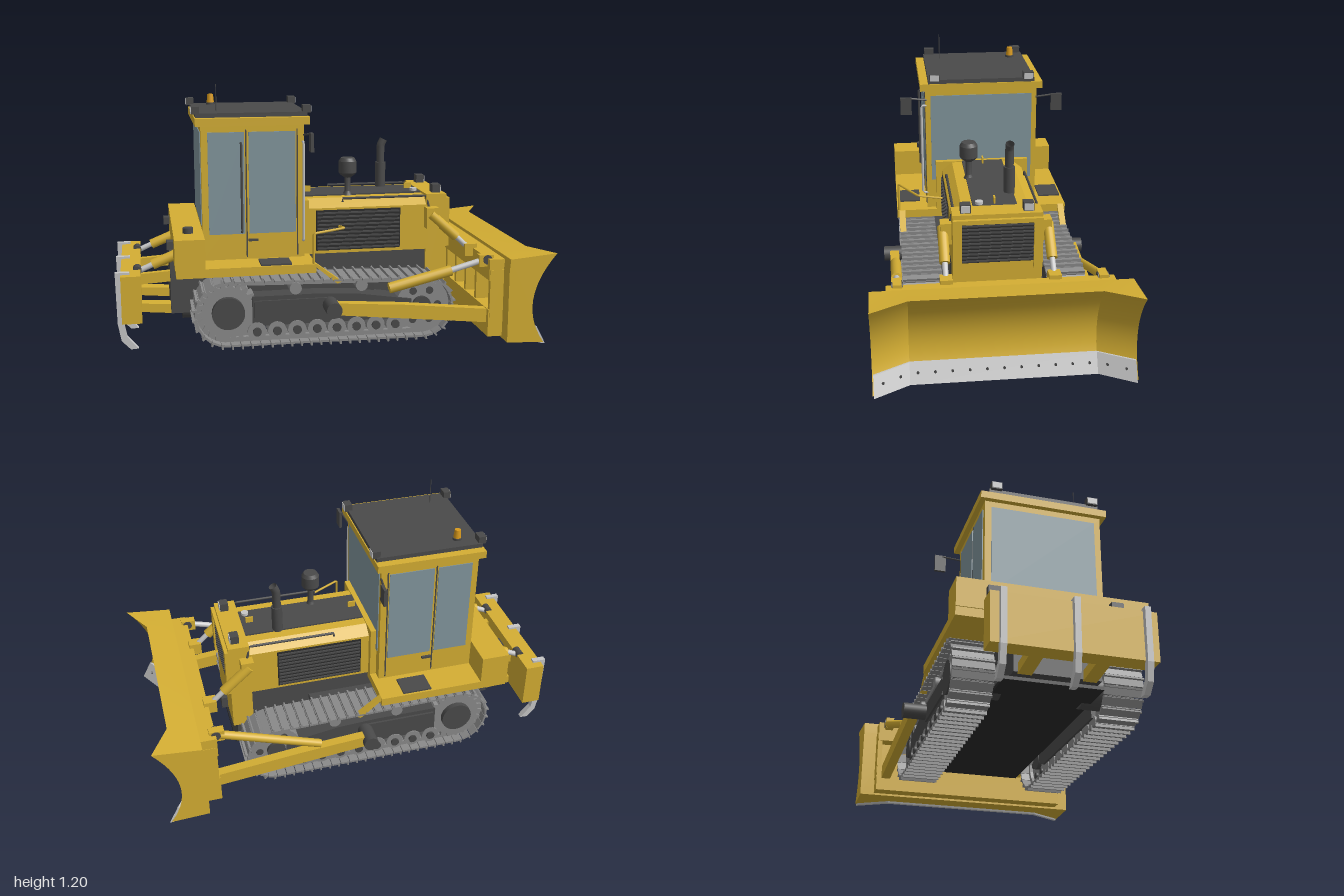
import * as THREE from 'three';
import { mergeGeometries, toCreasedNormals } from 'three/addons/utils/BufferGeometryUtils.js';

const V = (x, y, z) => new THREE.Vector3(x, y, z);

export function createModel() {
  const model = new THREE.Group();
  const M = {};
  const colours = { yellow: 0xd4ae33, dark: 0x4a4a4a, black: 0x2b2b2b, steel: 0x8a8a8a, chrome: 0xc6c6c6, glass: 0x82969d, amber: 0xd99a1c };
  for (const [name, color] of Object.entries(colours)) {
    M[name] = new THREE.MeshStandardMaterial({ color });
    M[name].name = name;
  }

  const add = (name, geo, mat) => {
    const m = new THREE.Mesh(geo, M[mat]);
    m.name = name;
    model.add(m);
    return m;
  };
  // box from its limits
  const box = (name, mat, x0, x1, y0, y1, z0, z1) => {
    const m = add(name, new THREE.BoxGeometry(x1 - x0, y1 - y0, Math.abs(z1 - z0)), mat);
    m.position.set((x0 + x1) / 2, (y0 + y1) / 2, (z0 + z1) / 2);
    return m;
  };
  // cylinder between two points
  const rod = (name, mat, a, b, r, r2 = r, sides = 16) => {
    const d = b.clone().sub(a);
    const m = add(name, new THREE.CylinderGeometry(r2, r, d.length(), sides), mat);
    m.position.copy(a).add(b).multiplyScalar(0.5);
    m.quaternion.setFromUnitVectors(V(0, 1, 0), d.normalize());
    return m;
  };
  // side outline extruded across z
  const prism = (name, mat, pts, z0, z1) => {
    const shape = new THREE.Shape(pts.map(p => new THREE.Vector2(...p)));
    const m = add(name, new THREE.ExtrudeGeometry(shape, { depth: Math.abs(z1 - z0), bevelEnabled: false }), mat);
    m.position.z = Math.min(z0, z1);
    return m;
  };
  const tube = (name, mat, pts, r) => {
    const path = new THREE.CurvePath();
    for (let i = 1; i < pts.length; i++) path.add(new THREE.LineCurve3(pts[i - 1], pts[i]));
    return add(name, new THREE.TubeGeometry(path, 30, r, 6), mat);
  };
  const both = fn => [1, -1].forEach(fn);

  // Hull, deck and rear tank
  box('hull', 'dark', -0.75, 0.56, 0.13, 0.4, -0.19, 0.19);
  box('bellyPlate', 'black', -0.7, 0.58, 0.115, 0.13, -0.22, 0.22);
  box('deck', 'yellow', -0.73, -0.1, 0.36, 0.4, -0.43, 0.43);
  box('rearTank', 'yellow', -0.735, -0.6, 0.4, 0.535, -0.43, 0.43);
  rod('tankCap', 'dark', V(-0.667, 0.53, 0.28), V(-0.667, 0.56, 0.28), 0.024);
  rod('crossShaft', 'dark', V(0.12, 0.25, -0.3), V(0.12, 0.25, 0.3), 0.03);
  both(s => {
    box('stepPlate', 'dark', -0.35, -0.21, 0.4, 0.407, s * 0.31, s * 0.42);
    box('tailLamp', 'dark', -0.765, -0.735, 0.465, 0.5, s * 0.245, s * 0.3);
    prism('deckBrace', 'yellow', [[-0.12, 0.4], [-0.1, 0.4], [0.02, 0.31], [0.0, 0.3]], s * 0.39, s * 0.42);
  });

  // Cab with window panes
  box('cab', 'yellow', -0.6, -0.13, 0.4, 1.02, -0.275, 0.275);
  box('roof', 'yellow', -0.625, -0.105, 1.02, 1.055, -0.3, 0.3);
  box('roofPanel', 'dark', -0.62, -0.11, 1.055, 1.075, -0.26, 0.26);
  box('frontWindow', 'glass', -0.131, -0.126, 0.55, 0.99, -0.25, 0.25);
  box('rearWindow', 'glass', -0.604, -0.599, 0.56, 0.99, -0.245, 0.245);
  both(s => {
    box('rearSideWindow', 'glass', -0.57, -0.405, 0.52, 0.99, s * 0.273, s * 0.279);
    box('doorWindow', 'glass', -0.385, -0.17, 0.52, 0.99, s * 0.273, s * 0.279);
    for (const x of [-0.4, -0.165]) box('doorSeam', 'dark', x, x + 0.006, 0.41, 1.0, s * 0.273, s * 0.278);
    box('doorHandle', 'dark', -0.39, -0.345, 0.485, 0.495, s * 0.275, s * 0.287);
    tube('mirrorArm', 'dark', [V(-0.13, 0.97, s * 0.27), V(-0.115, 0.985, s * 0.36)], 0.005);
    box('mirror', 'dark', -0.118, -0.104, 0.905, 0.99, s * 0.343, s * 0.397);
    // roof work lamps
    for (const [x, f] of [[-0.112, 1], [-0.62, -1]]) {
      box('workLamp', 'dark', x - 0.018, x + 0.018, 1.07, 1.105, s * 0.204, s * 0.254);
      box('workLampLens', 'chrome', x + f * 0.019 - 0.002, x + f * 0.019 + 0.002, 1.073, 1.102, s * 0.207, s * 0.251);
    }
  });
  tube('grabRail', 'chrome', [V(-0.135, 0.94, 0.27), V(-0.135, 0.94, 0.295), V(-0.135, 0.48, 0.295), V(-0.135, 0.48, 0.27)], 0.006);
  tube('doorRail', 'dark', [V(-0.42, 0.94, 0.27), V(-0.42, 0.94, 0.295), V(-0.42, 0.53, 0.295), V(-0.42, 0.53, 0.27)], 0.006);
  rod('antenna', 'dark', V(-0.52, 1.07, 0.18), V(-0.52, 1.2, 0.18), 0.002, 0.002, 6);
  rod('beaconBase', 'dark', V(-0.52, 1.07, -0.19), V(-0.52, 1.085, -0.19), 0.022);
  rod('beacon', 'amber', V(-0.52, 1.085, -0.19), V(-0.52, 1.125, -0.19), 0.018, 0.014);

  // Hood with sloped shoulders, made across and turned along x
  const hoodShape = new THREE.Shape([[-0.2, 0.39], [0.2, 0.39], [0.2, 0.61], [0.15, 0.65], [-0.15, 0.65], [-0.2, 0.61]].map(p => new THREE.Vector2(...p)));
  const hood = add('hood', new THREE.ExtrudeGeometry(hoodShape, { depth: 0.61, bevelEnabled: false }), 'yellow');
  hood.rotation.y = Math.PI / 2;
  hood.position.x = -0.12;
  box('cowl', 'yellow', -0.13, -0.1, 0.4, 0.655, -0.23, 0.23);
  box('hoodPanel', 'dark', -0.1, 0.51, 0.65, 0.657, -0.1, 0.1);
  box('radiatorGuard', 'yellow', 0.48, 0.58, 0.2, 0.66, -0.2, 0.2);
  box('frontGrille', 'black', 0.578, 0.584, 0.43, 0.62, -0.16, 0.16);
  for (let i = 0; i < 11; i++) box('frontSlat', 'dark', 0.582, 0.59, 0.436 + i * 0.017, 0.443 + i * 0.017, -0.16, 0.16);
  both(s => {
    box('grilleFrame', 'yellow', 0.58, 0.597, 0.4, 0.64, s * 0.16, s * 0.2);
    box('sideGrille', 'black', -0.06, 0.35, 0.405, 0.6, s * 0.198, s * 0.204);
    for (let i = 0; i < 10; i++) box('sideSlat', 'dark', -0.055, 0.345, 0.412 + i * 0.019, 0.42 + i * 0.019, s * 0.2, s * 0.21);
    tube('hoodRail', 'dark', [V(0.07, 0.635, s * 0.19), V(0.07, 0.652, s * 0.19), V(0.48, 0.652, s * 0.19), V(0.5, 0.57, s * 0.21)], 0.006);
    box('headlamp', 'dark', 0.52, 0.56, 0.66, 0.7, s * 0.117, s * 0.163);
    box('headlampLens', 'chrome', 0.559, 0.564, 0.664, 0.696, s * 0.12, s * 0.16);
  });
  box('grilleTop', 'yellow', 0.58, 0.597, 0.62, 0.64, -0.16, 0.16);
  box('towHook', 'dark', 0.58, 0.61, 0.19, 0.25, -0.04, 0.04);
  for (const x of [-0.07, 0.44]) box('liftingEye', 'yellow', x - 0.018, x + 0.018, 0.65, 0.685, -0.004, 0.004);
  rod('radiatorCap', 'chrome', V(0.45, 0.65, 0.07), V(0.45, 0.67, 0.07), 0.018);
  tube('deckRail', 'yellow', [V(-0.11, 0.4, 0.42), V(-0.11, 0.54, 0.42), V(0.05, 0.54, 0.33), V(0.05, 0.52, 0.2)], 0.006);

  // Air cleaner and exhaust
  const cleaner = [[0, 0.65], [0.025, 0.65], [0.015, 0.67], [0.015, 0.735], [0.036, 0.75], [0.043, 0.76], [0.043, 0.815], [0.033, 0.832], [0, 0.832]];
  const lathe = new THREE.LatheGeometry(cleaner.map(p => new THREE.Vector2(...p)), 20);
  add('airCleaner', toCreasedNormals(lathe, 0.5), 'dark').position.set(0.115, 0, 0.085);
  rod('muffler', 'dark', V(0.32, 0.65, -0.083), V(0.32, 0.78, -0.083), 0.026);
  const stack = new THREE.CatmullRomCurve3([V(0.32, 0.77, -0.083), V(0.32, 0.85, -0.083), V(0.315, 0.875, -0.083), V(0.335, 0.895, -0.083)].map((p, i) => i === 2 ? V(0.322, 0.868, -0.083) : p));
  add('exhaustStack', new THREE.TubeGeometry(stack, 16, 0.02, 14), 'dark').material.side = THREE.DoubleSide;

  // Tracks: shoes, grousers and links set along a belt path
  const A = { x: -0.5, y: 0.18, r: 0.148 }, B = { x: 0.41, y: 0.165, r: 0.14 };
  const th = Math.atan2(B.y - A.y, B.x - A.x);
  const phi = Math.acos((A.r - B.r) / Math.hypot(B.x - A.x, B.y - A.y));
  const belt = new THREE.Path();
  belt.absarc(A.x, A.y, A.r, th + phi, th - phi + 2 * Math.PI, false);
  belt.absarc(B.x, B.y, B.r, th - phi, th + phi, false);
  belt.closePath();
  const shoes = [], N = 60;
  for (let i = 0; i < N; i++) {
    const p = belt.getPoint(i / N), t = belt.getTangent(i / N);
    const parts = [
      new THREE.BoxGeometry(0.042, 0.01, 0.18),
      new THREE.BoxGeometry(0.008, 0.016, 0.18).translate(-0.014, -0.01, 0),
      new THREE.BoxGeometry(0.046, 0.024, 0.022).translate(0, 0.014, 0.035),
      new THREE.BoxGeometry(0.046, 0.024, 0.022).translate(0, 0.014, -0.035),
    ];
    for (const g of parts) shoes.push(g.rotateZ(Math.atan2(t.y, t.x)).translate(p.x, p.y, 0));
  }
  const trackGeo = mergeGeometries(shoes);
  const teeth = [];
  for (let i = 0; i < 88; i++) {
    const r = i % 4 < 2 ? 0.142 : 0.12, a = i / 88 * 2 * Math.PI;
    teeth.push([A.x + r * Math.cos(a), A.y + r * Math.sin(a)]);
  }

  both(s => {
    const across = (name, mat, x, y, r, z0, z1) => rod(name, mat, V(x, y, s * z0), V(x, y, s * z1), r, r, 24);
    add('track', trackGeo, 'steel').position.z = s * 0.33;
    prism('sprocket', 'steel', teeth, s * 0.3, s * 0.385);
    across('finalDrive', 'dark', A.x, A.y, 0.075, 0.18, 0.41);
    across('idler', 'steel', B.x, B.y, 0.122, 0.3, 0.38);
    across('idlerHub', 'dark', B.x, B.y, 0.045, 0.28, 0.395);
    for (let i = 0; i < 6; i++) {
      const a = i * Math.PI / 3;
      across('idlerHole', 'dark', B.x + 0.08 * Math.cos(a), B.y + 0.08 * Math.sin(a), 0.018, 0.29, 0.383);
    }
    prism('trackFrame', 'dark', [[-0.39, 0.11], [0.3, 0.11], [0.36, 0.15], [0.36, 0.2], [0.1, 0.24], [-0.1, 0.25], [-0.39, 0.25]], s * 0.28, s * 0.39);
    box('frameCover', 'dark', -0.38, -0.03, 0.15, 0.23, s * 0.39, s * 0.4);
    box('frameUpper', 'dark', -0.4, 0.2, 0.2, 0.31, s * 0.19, s * 0.3);
    for (let i = 0; i < 8; i++) {
      const x = -0.37 + i * 0.093;
      across('trackRoller', 'steel', x, 0.085, 0.043, 0.29, 0.395);
      across('rollerCap', 'dark', x, 0.085, 0.02, 0.39, 0.405);
    }
    for (const x of [-0.19, 0.12]) across('carrierRoller', 'steel', x, 0.28, 0.028, 0.28, 0.395);

    // Push arms and lift cylinders
    prism('pushArm', 'yellow', [[-0.04, 0.17], [0.72, 0.09], [0.72, 0.155], [0.3, 0.2], [-0.04, 0.225]], s * 0.43, s * 0.475);
    across('trunnion', 'dark', -0.03, 0.197, 0.036, 0.38, 0.505);
    box('liftBracket', 'yellow', 0.47, 0.53, 0.5, 0.6, s * 0.19, s * 0.25);
    rod('liftCylinder', 'yellow', V(0.49, 0.57, s * 0.238), V(0.62, 0.455, s * 0.238), 0.024);
    rod('liftPiston', 'chrome', V(0.61, 0.465, s * 0.238), V(0.68, 0.4, s * 0.238), 0.013);
    box('liftClevis', 'yellow', 0.66, 0.72, 0.36, 0.42, s * 0.21, s * 0.265);
    across('bracePin', 'dark', 0.7, 0.393, 0.022, 0.425, 0.475);
    box('braceClevis', 'yellow', 0.66, 0.73, 0.36, 0.415, s * 0.43, s * 0.47);
  });
  rod('tiltCylinder', 'yellow', V(0.235, 0.275, 0.45), V(0.53, 0.345, 0.45), 0.025);
  rod('tiltPiston', 'chrome', V(0.52, 0.343, 0.45), V(0.69, 0.39, 0.45), 0.014);
  rod('fixedBrace', 'yellow', V(0.21, 0.22, -0.455), V(0.7, 0.393, -0.455), 0.02);

  // Blade: an extruded section whose ends swing forward
  const bladeLoft = (name, mat, shape, half) => {
    const g = new THREE.ExtrudeGeometry(shape, { depth: 3, steps: 3, bevelEnabled: false });
    const p = g.attributes.position, zs = [-half, -0.41, 0.41, half];
    for (let i = 0; i < p.count; i++) {
      const k = Math.round(p.getZ(i));
      const w = THREE.MathUtils.smoothstep(p.getX(i), 0.775, 0.8);
      if (k === 0 || k === 3) p.setX(i, p.getX(i) + 0.088 * w);
      p.setZ(i, zs[k]);
    }
    add(name, toCreasedNormals(g, 0.4), mat);
  };
  const front = new THREE.QuadraticBezierCurve(new THREE.Vector2(0.86, 0.012), new THREE.Vector2(0.7175, 0.212), new THREE.Vector2(0.91, 0.435));
  const back = [[0.775, 0.415], [0.77, 0.36], [0.77, 0.02]].map(p => new THREE.Vector2(...p));
  bladeLoft('blade', 'yellow', new THREE.Shape([...front.getPoints(14), ...back]), 0.57);
  bladeLoft('cuttingEdge', 'chrome', new THREE.Shape([[0.85, 0.005], [0.87, 0.005], [0.826, 0.09], [0.81, 0.09]].map(p => new THREE.Vector2(...p))), 0.565);
  for (let i = -7; i <= 7; i++) {
    const z = i * 0.075, x = 0.845 + Math.max(0, Math.abs(z) - 0.41) * 0.56;
    rod('edgeBolt', 'dark', V(x - 0.01, 0.05, z), V(x + 0.006, 0.05, z), 0.006, 0.006, 8);
  }
  box('bladeBeam', 'yellow', 0.7, 0.775, 0.03, 0.16, -0.5, 0.5);
  box('bladeUpperBeam', 'yellow', 0.7, 0.775, 0.3, 0.4, -0.5, 0.5);
  for (const z of [-0.49, -0.3, -0.15, 0, 0.15, 0.3, 0.49]) box('bladeRib', 'yellow', 0.705, 0.775, 0.1, 0.35, z - 0.012, z + 0.012);

  // Ripper
  box('ripperBeam', 'yellow', -0.975, -0.885, 0.14, 0.36, -0.35, 0.35);
  const shank = [[-1, 0.37], [-0.995, 0.13], [-0.98, 0.05], [-0.94, 0.008], [-0.905, 0.01], [-0.955, 0.07], [-0.968, 0.14], [-0.935, 0.362], [-0.935, 0.37]];
  for (const z of [-0.3, 0, 0.3]) prism('ripperShank', 'chrome', shank, z - 0.013, z + 0.013);
  both(s => {
    prism('ripperUpperArm', 'yellow', [[-0.9, 0.27], [-0.74, 0.28], [-0.74, 0.33], [-0.9, 0.32]], s * 0.135, s * 0.165);
    prism('ripperLowerArm', 'yellow', [[-0.9, 0.14], [-0.74, 0.125], [-0.74, 0.17], [-0.9, 0.18]], s * 0.11, s * 0.17);
    rod('ripperCylinder', 'yellow', V(-0.72, 0.42, s * 0.205), V(-0.83, 0.375, s * 0.205), 0.024);
    rod('ripperPiston', 'chrome', V(-0.82, 0.38, s * 0.205), V(-0.9, 0.345, s * 0.205), 0.013);
    rod('ripperPin', 'dark', V(-0.9, 0.355, s * 0.18), V(-0.9, 0.355, s * 0.23), 0.02);
  });
  return model;
}
